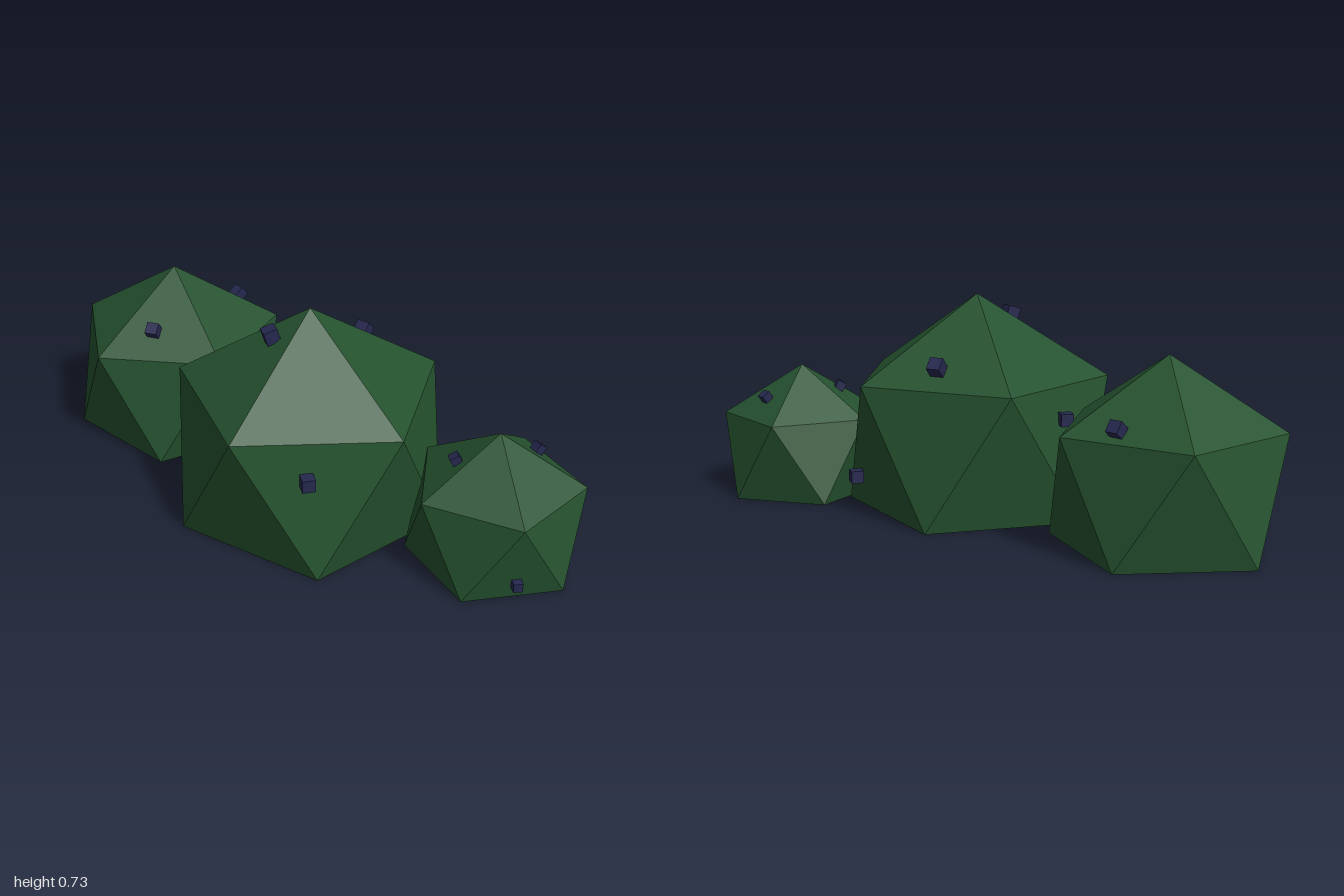
import * as THREE from 'three';

const leafGreen = new THREE.MeshStandardMaterial({ color: 0x25522f, flatShading: true, side: THREE.DoubleSide });
leafGreen.name = 'leafGreen';
const berryNavy = new THREE.MeshStandardMaterial({ color: 0x26284f, flatShading: true });
berryNavy.name = 'berryNavy';

// Icosahedron resting on its lower ring, open underneath
function domeGeometry(r, startDeg) {
  const ring = r * 2 / Math.sqrt(5), upY = r * 2 / Math.sqrt(5);
  const at = (k, y) => {
    const a = THREE.MathUtils.degToRad(startDeg + 72 * k);
    return [ring * Math.cos(a), y, ring * Math.sin(a)];
  };
  const top = [0, r * (1 + 1 / Math.sqrt(5)), 0];
  const pos = [];
  for (let k = 0; k < 5; k++) {
    const u0 = at(k, upY), u1 = at(k + 1, upY);
    const l0 = at(k + 0.5, 0), l1 = at(k + 1.5, 0);
    pos.push(...top, ...u1, ...u0); // crown
    pos.push(...u0, ...u1, ...l0);  // side, pointing down
    pos.push(...u1, ...l1, ...l0);  // side, pointing up
  }
  const g = new THREE.BufferGeometry();
  g.setAttribute('position', new THREE.Float32BufferAttribute(pos, 3));
  g.computeVertexNormals();
  return g;
}

// Each bush: centre, radius, turn; berries as [x, y, z, size, yaw when upright]
const bushes = [
  { name: 'middleBush', x: 0.073, z: 0.108, r: 0.502, turn: 24, berries: [
    [-0.02, 0.652, 0.2, 0.046], [0.12, 0.52, -0.198, 0.046],
    [0.25, 0.336, 0.472, 0.042, 0.7], [-0.285, 0.35, -0.09, 0.042, 0.5],
    [0.43, 0.12, -0.135, 0.042, 0.6]] },
  { name: 'rightBush', x: -0.63, z: -0.2, r: 0.414, turn: 34, berries: [
    [-0.515, 0.41, -0.453, 0.042], [-0.587, 0.45, 0.02, 0.042]] },
  { name: 'leftBush', x: 0.728, z: 0.112, r: 0.311, turn: 53, berries: [
    [0.813, 0.35, -0.016, 0.032], [0.614, 0.365, 0.185, 0.032],
    [0.88, 0.06, 0.31, 0.03, 0.6]] },
];

export function createModel() {
  const model = new THREE.Group();
  model.name = 'berryBushes';
  for (const b of bushes) {
    const group = new THREE.Group();
    group.name = b.name;

    const foliage = new THREE.Mesh(domeGeometry(b.r, b.turn), leafGreen);
    foliage.name = 'foliage';
    foliage.position.set(b.x, 0, b.z);
    group.add(foliage);

    // Cube berries: high ones lean outwards, low ones stay upright
    for (const [x, y, z, size, yaw] of b.berries) {
      const berry = new THREE.Mesh(new THREE.BoxGeometry(size, size, size), berryNavy);
      berry.name = 'berry';
      berry.position.set(x, y, z);
      if (yaw === undefined) berry.lookAt(b.x, b.r / Math.sqrt(5), b.z);
      else berry.rotation.y = yaw;
      group.add(berry);
    }
    model.add(group);
  }
  return model;
}
